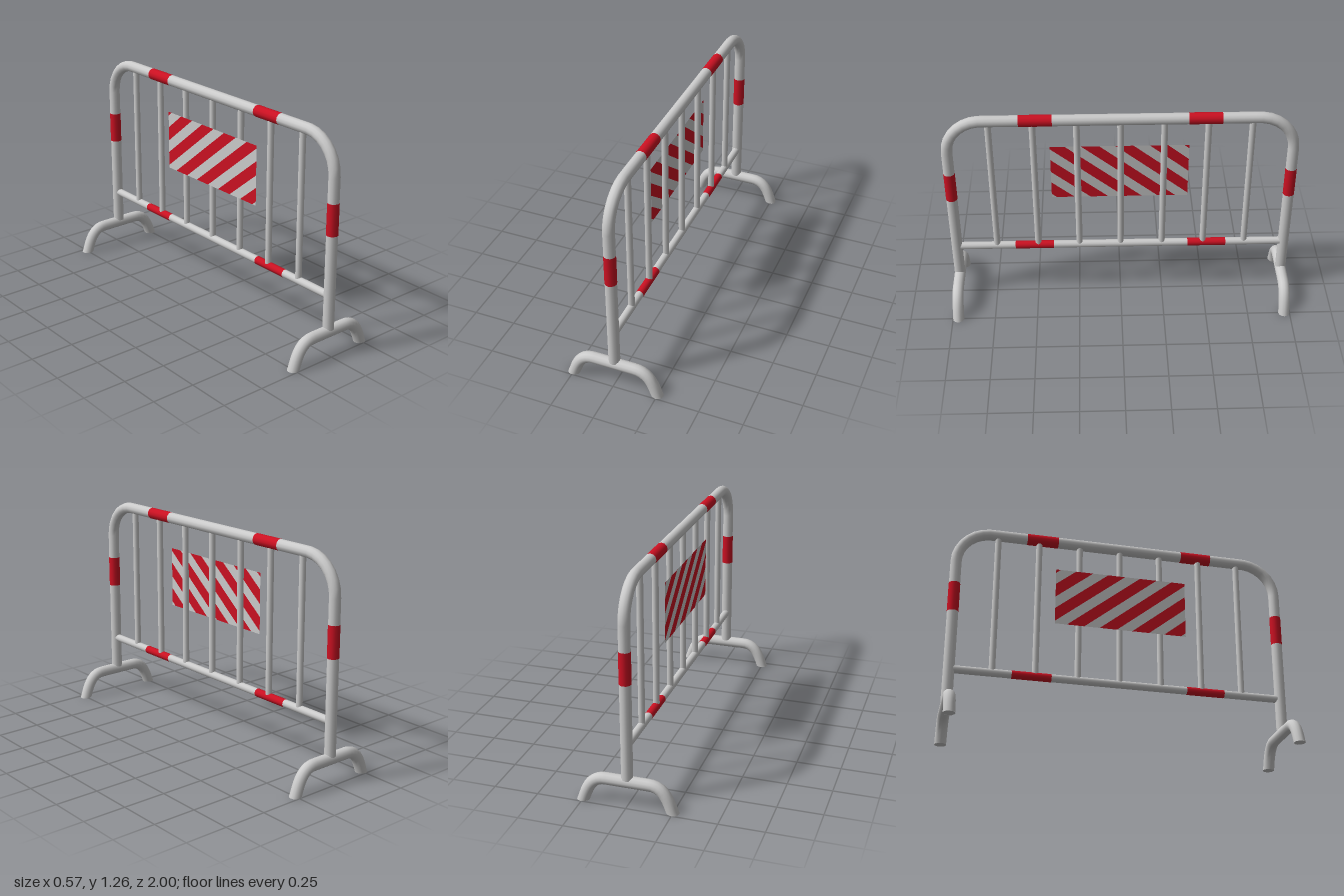
import * as THREE from 'three';

const grey = new THREE.MeshStandardMaterial({ color: 0xcccccc });
const red = new THREE.MeshStandardMaterial({ color: 0xcc1122 });
const greySheet = new THREE.MeshStandardMaterial({ color: 0xcccccc, side: THREE.DoubleSide });
const redSheet = new THREE.MeshStandardMaterial({ color: 0xcc1122, side: THREE.DoubleSide });
const V = (x, y, z) => new THREE.Vector3(x, y, z);

const R = 0.033;      // main tube radius
const POST_Z = 0.967; // post centre line
const TOP_Y = 1.229;  // top rail centre line
const RAIL_Y = 0.355; // lower rail centre line

function add(group, name, geometry, material) {
  const mesh = new THREE.Mesh(geometry, material);
  mesh.name = name;
  group.add(mesh);
  return mesh;
}

// Straight round bar between two points
function bar(group, name, a, b, radius, material, open = false) {
  const dir = b.clone().sub(a);
  const mesh = add(group, name, new THREE.CylinderGeometry(radius, radius, dir.length(), 12, 1, open), material);
  mesh.position.copy(a).add(b).multiplyScalar(0.5);
  mesh.quaternion.setFromUnitVectors(V(0, 1, 0), dir.normalize());
  return mesh;
}

// Bent tube: post, corner, top rail, corner, post
function frameGeometry() {
  const bend = 0.2, k = 0.09;
  const path = new THREE.CurvePath();
  const corner = (s) => [
    V(0, TOP_Y - bend, s * POST_Z), V(0, TOP_Y - k, s * POST_Z),
    V(0, TOP_Y, s * (POST_Z - k)), V(0, TOP_Y, s * (POST_Z - bend))
  ];
  const a = corner(1), b = corner(-1).reverse();
  path.add(new THREE.LineCurve3(V(0, 0.16, POST_Z), a[0]));
  path.add(new THREE.CubicBezierCurve3(...a));
  path.add(new THREE.LineCurve3(a[3], b[0]));
  path.add(new THREE.CubicBezierCurve3(...b));
  path.add(new THREE.LineCurve3(b[3], V(0, 0.16, -POST_Z)));
  return new THREE.TubeGeometry(path, 90, R - 0.001, 12);
}

// Arched foot, trimmed flat at the ground
function footGeometry() {
  const path = new THREE.CurvePath();
  const side = (s) => [V(s * 0.12, 0.143, 0), V(s * 0.2, 0.143, 0), V(s * 0.225, 0.075, 0), V(s * 0.252, -0.015, 0)];
  const l = side(-1).reverse(), r = side(1);
  path.add(new THREE.CubicBezierCurve3(...l));
  path.add(new THREE.LineCurve3(l[3], r[0]));
  path.add(new THREE.CubicBezierCurve3(...r));
  const geometry = new THREE.TubeGeometry(path, 30, R, 12);
  const p = geometry.attributes.position;
  for (let i = 0; i < p.count; i++) p.setY(i, Math.max(0, p.getY(i)));
  geometry.computeBoundingSphere();
  return geometry;
}

// Keep the part of a polygon where sign * (x - limit) <= 0
function clipX(points, limit, sign) {
  const out = [];
  points.forEach((p, i) => {
    const q = points[(i + 1) % points.length];
    const dp = sign * (p.x - limit), dq = sign * (q.x - limit);
    if (dp <= 0) out.push(p);
    if (dp * dq < 0) out.push(p.clone().lerp(q, dp / (dp - dq)));
  });
  return out;
}

// Sign made of alternating diagonal strips
function warningPanel() {
  const panel = new THREE.Group();
  panel.name = 'warningPanel';
  const w = 0.78, h = 0.35, lean = 0.435, period = 0.193, redWidth = 0.102;
  for (let i = -3; i < 5; i++) {
    const start = i * period - 0.02;
    const strips = [[start, start + redWidth, redSheet, 'redStripe'],
      [start + redWidth, start + period, greySheet, 'greyStripe']];
    for (const [u0, u1, material, name] of strips) {
      let pts = [[u0, h], [u0 + lean, 0], [u1 + lean, 0], [u1, h]].map(([x, y]) => new THREE.Vector2(x, y));
      pts = clipX(clipX(pts, 0, -1), w, 1);
      if (pts.length > 2) add(panel, name, new THREE.ShapeGeometry(new THREE.Shape(pts)), material);
    }
  }
  panel.rotation.y = Math.PI / 2;
  panel.position.set(-0.019, 0.69, 0.395);
  return panel;
}

export function createModel() {
  const model = new THREE.Group();
  model.name = 'crowdBarrier';

  add(model, 'frame', frameGeometry(), grey);
  bar(model, 'lowerRail', V(0, RAIL_Y, -0.945), V(0, RAIL_Y, 0.945), 0.0225, grey);

  // Upright bars
  for (let i = -3; i <= 3; i++) {
    bar(model, 'uprightBar', V(0, RAIL_Y, i * 0.243), V(0, 1.22, i * 0.243), 0.0185, grey);
  }

  for (const s of [-1, 1]) {
    // Red bands on the tubes
    bar(model, 'topBand', V(0, TOP_Y, s * 0.375), V(0, TOP_Y, s * 0.56), R, red, true);
    bar(model, 'lowerBand', V(0, RAIL_Y, s * 0.395), V(0, RAIL_Y, s * 0.62), 0.0235, red, true);
    bar(model, 'postBand', V(0, 0.705, s * POST_Z), V(0, 0.885, s * POST_Z), R, red, true);

    // Feet with closed ends
    const foot = new THREE.Group();
    foot.name = 'foot';
    foot.position.z = s * POST_Z;
    add(foot, 'footArch', footGeometry(), grey);
    for (const e of [-1, 1]) {
      const cap = add(foot, 'footEnd', new THREE.CircleGeometry(R, 12), grey);
      cap.rotation.x = Math.PI / 2;
      cap.position.set(e * 0.25, 0, 0);
    }
    model.add(foot);
  }

  model.add(warningPanel());
  return model;
}
